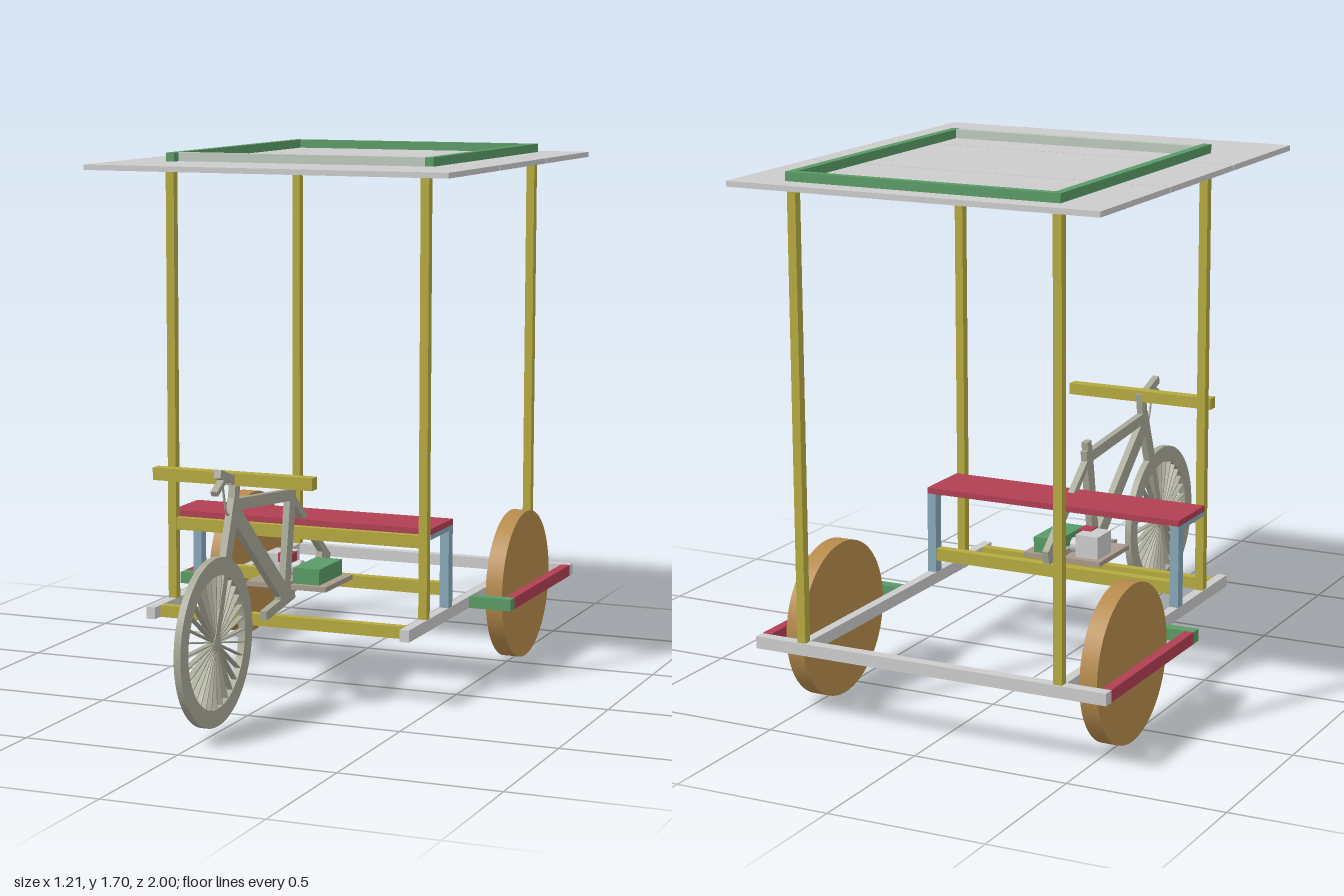
import * as THREE from 'three';

const mat = (color) => new THREE.MeshStandardMaterial({ color, flatShading: true });
const GREY = mat(0xcccccc), YELLOW = mat(0xb5a93f), GREEN = mat(0x5a9a66), RED = mat(0xb03f52);
const BLUE = mat(0x88a8b8), TAN = mat(0xb58a4c), BIKE = mat(0xa8a898), BOARD = mat(0xa89a8c);

export function createModel() {
  const root = new THREE.Group();

  const add = (name, geo, material, parent = root) => {
    const m = new THREE.Mesh(geo, material);
    m.name = name;
    parent.add(m);
    return m;
  };
  // Box given by its extents along each axis
  const box = (name, material, [x0, x1], [y0, y1], [z0, z1], parent = root) => {
    const m = add(name, new THREE.BoxGeometry(x1 - x0, y1 - y0, z1 - z0), material, parent);
    m.position.set((x0 + x1) / 2, (y0 + y1) / 2, (z0 + z1) / 2);
    return m;
  };
  const pair = (name, material, [x0, x1], y, z) => {
    box('left' + name, material, [x0, x1], y, z);
    box('right' + name, material, [-x1, -x0], y, z);
  };

  // Chassis
  const FRAME_Y = [0.224, 0.262];
  pair('SideRail', GREY, [0.418, 0.448], FRAME_Y, [-0.89, 0.29]);
  box('rearCrossbar', GREY, [-0.59, 0.59], FRAME_Y, [-0.925, -0.89]);
  box('frontCrossbar', YELLOW, [-0.418, 0.418], FRAME_Y, [0.22, 0.25]);
  pair('WheelBracket', GREEN, [0.448, 0.59], FRAME_Y, [-0.3, -0.262]);
  pair('OuterRail', RED, [0.56, 0.59], FRAME_Y, [-0.89, -0.3]);

  // Rear wheels
  for (const s of [1, -1]) {
    const w = add(s > 0 ? 'leftRearWheel' : 'rightRearWheel',
      new THREE.CylinderGeometry(0.246, 0.246, 0.057, 64),
      new THREE.MeshStandardMaterial({ color: 0xb58a4c }));
    w.rotation.z = Math.PI / 2;
    w.position.set(s * 0.498, 0.246, -0.607);
  }

  // Posts and roof
  pair('FrontPost', YELLOW, [0.418, 0.446], [0.262, 1.656], [0.101, 0.129]);
  pair('RearPost', YELLOW, [0.418, 0.446], [0.262, 1.656], [-0.92, -0.892]);
  for (const z of [[-0.068, 0.39], [-0.534, -0.073], [-1, -0.539]])
    box('roofPanel', GREY, [-0.603, 0.603], [1.655, 1.672], z);
  const TOP_Y = [1.672, 1.7];
  box('roofBarLeft', GREEN, [0.418, 0.446], TOP_Y, [-0.9, 0.092]);
  box('roofBarRight', GREEN, [-0.446, -0.418], TOP_Y, [-0.9, 0.125]);
  box('roofBarRear', GREEN, [-0.446, 0.446], TOP_Y, [-0.928, -0.9]);
  box('roofBarFront', mat(0xbcc8bc), [-0.418, 0.418], TOP_Y, [0.064, 0.092]);

  // Bench
  box('seat', RED, [-0.448, 0.448], [0.527, 0.546], [-0.1, 0.101]);
  pair('SeatLeg', BLUE, [0.418, 0.448], [0.262, 0.527], [-0.1, -0.064]);
  pair('SeatSideBar', BLUE, [0.418, 0.448], [0.512, 0.527], [-0.064, 0.101]);
  box('seatFrontBar', YELLOW, [-0.418, 0.418], [0.487, 0.527], [0.09, 0.125]);
  box('seatLowerBar', YELLOW, [-0.418, 0.418], [0.302, 0.342], [-0.098, -0.066]);

  // Drive unit on its platform
  box('platform', BOARD, [-0.143, 0.13], [0.336, 0.352], [-0.035, 0.19]);
  box('batteryBox', GREEN, [0.01, 0.1], [0.352, 0.403], [-0.02, 0.17]);
  box('motorBox', GREY, [-0.125, -0.045], [0.352, 0.426], [-0.01, 0.09]);
  box('switchBox', RED, [-0.075, -0.03], [0.4, 0.43], [0.045, 0.092]);
  const shaft = add('motorShaft', new THREE.CylinderGeometry(0.024, 0.024, 0.035, 20), GREY);
  shaft.rotation.z = Math.PI / 2;
  shaft.position.set(-0.03, 0.377, 0.04);

  // Flat cycle frame, members given as (z, y) endpoints
  const bike = new THREE.Group();
  bike.name = 'cycle';
  root.add(bike);
  const strut = (name, z0, y0, z1, y1, width, depth = 0.022) => {
    const m = add(name, new THREE.BoxGeometry(depth, width, Math.hypot(z1 - z0, y1 - y0)), BIKE, bike);
    m.position.set(0, (y0 + y1) / 2, (z0 + z1) / 2);
    m.rotation.x = -Math.atan2(y1 - y0, z1 - z0);
  };
  strut('forkBlade', 0.747, 0.281, 0.664, 0.51, 0.03);
  strut('forkCrown', 0.672, 0.49, 0.598, 0.69, 0.045);
  strut('headTube', 0.608, 0.64, 0.588, 0.765, 0.035);
  strut('topTube', 0.6, 0.675, 0.16, 0.636, 0.036);
  strut('downTube', 0.605, 0.65, 0.225, 0.325, 0.055);
  strut('seatTube', 0.165, 0.665, 0.222, 0.315, 0.045);
  strut('seatPost', 0.172, 0.63, 0.165, 0.692, 0.03);
  strut('seatStay', 0.17, 0.63, -0.13, 0.385, 0.024);
  strut('chainStay', 0.225, 0.33, -0.13, 0.37, 0.03);
  strut('dropout', -0.065, 0.39, -0.135, 0.375, 0.045);
  strut('crank', 0.38, 0.288, 0.155, 0.318, 0.03);
  strut('bottomBracket', 0.27, 0.335, 0.17, 0.335, 0.055);
  strut('stem', 0.64, 0.755, 0.58, 0.757, 0.03);
  strut('brakeHood', 0.715, 0.785, 0.63, 0.757, 0.026);
  strut('brakeLever', 0.738, 0.728, 0.67, 0.765, 0.016);
  const cable = new THREE.CatmullRomCurve3([[0.735, 0.69], [0.76, 0.685], [0.65, 0.645], [0.67, 0.61]]
    .map(([y, z]) => new THREE.Vector3(0, y, z)));
  add('brakeCable', new THREE.TubeGeometry(cable, 20, 0.004, 6), BIKE, bike);
  box('handlebar', YELLOW, [-0.262, 0.262], [0.735, 0.773], [0.575, 0.615], bike);

  // Front wheel with rim, hub and spokes
  const wheel = new THREE.Group();
  wheel.name = 'frontWheel';
  wheel.position.set(0, 0.281, 0.745);
  wheel.rotation.y = Math.PI / 2;
  bike.add(wheel);
  const ring = new THREE.Shape().absarc(0, 0, 0.256, 0, Math.PI * 2);
  ring.holes.push(new THREE.Path().absarc(0, 0, 0.202, 0, Math.PI * 2, true));
  const rim = new THREE.ExtrudeGeometry(ring, { depth: 0.022, bevelEnabled: false, curveSegments: 48 });
  add('tyre', rim.translate(0, 0, -0.011), BIKE, wheel);
  add('hub', new THREE.CylinderGeometry(0.022, 0.022, 0.022, 20).rotateX(Math.PI / 2), BIKE, wheel);
  const SPOKES = 32;
  for (let i = 0; i < SPOKES; i++) {
    const spoke = new THREE.BoxGeometry(0.19, 0.004, 0.018).translate(0.112, 0, 0);
    add('spoke', spoke, BIKE, wheel).rotation.z = (i / SPOKES) * Math.PI * 2;
  }

  return root;
}
